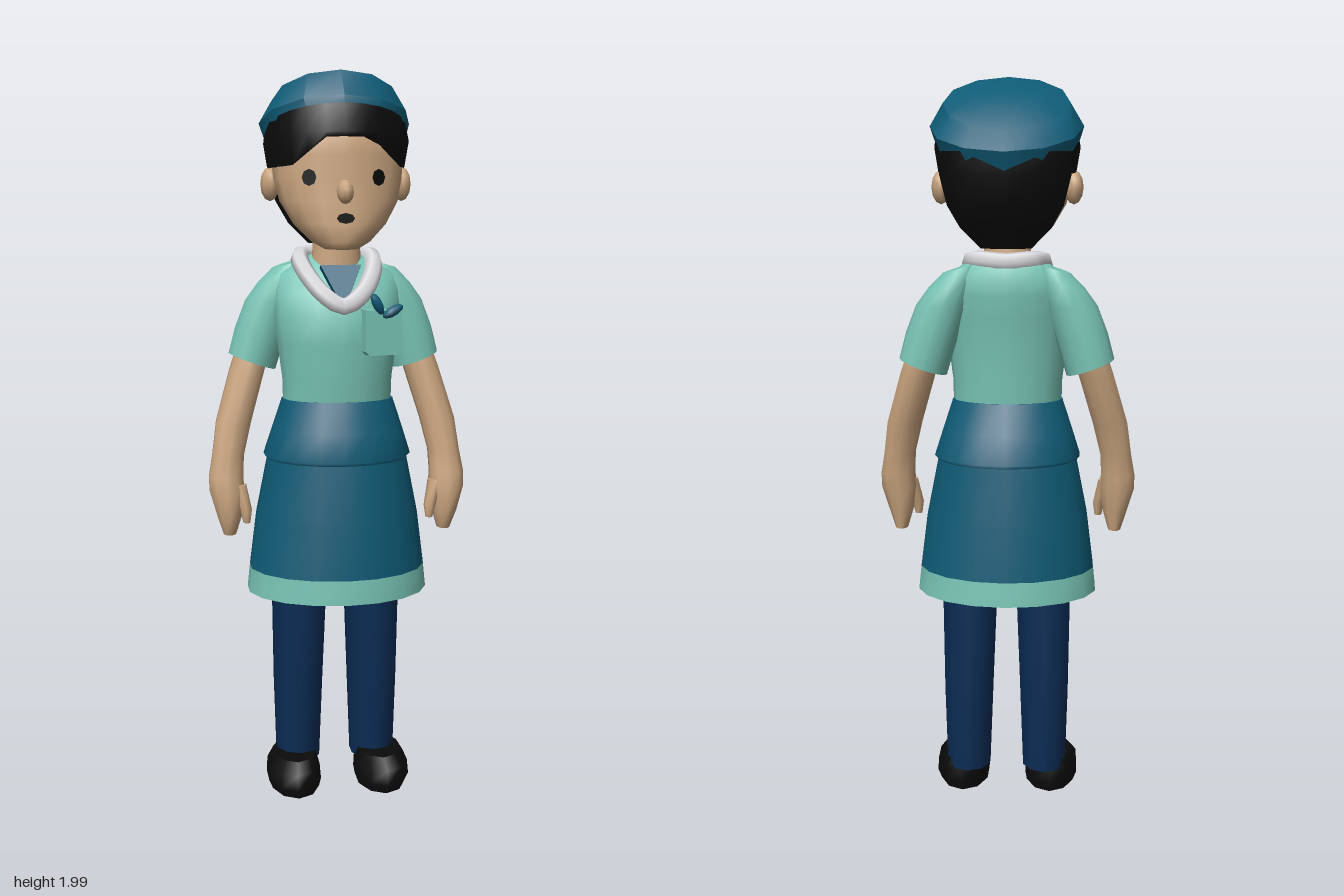
import * as THREE from 'three';
import { toCreasedNormals } from 'three/addons/utils/BufferGeometryUtils.js';

const mat = (name, color, side = THREE.FrontSide) => {
  const m = new THREE.MeshStandardMaterial({ color, side });
  m.name = name;
  return m;
};

// Skin over elliptical rings listed bottom to top: [y, cx, cz, rx, rz, slopeZ, slopeX]
function loft(rings, { n = 14, s = 1, capBottom = true, capTop = true, lift = null } = {}) {
  const pos = [], idx = [];
  const addRing = (r) => {
    const [y, cx, cz, rx, rz, kz = 0, kx = 0] = r;
    for (let i = 0; i < n; i++) {
      const a = (i / n) * Math.PI * 2;
      const dx = rx * Math.sin(a), dz = rz * Math.cos(a);
      const x = cx * s + dx, z = cz + dz;
      const h = y + kz * dz + kx * s * dx;
      pos.push(x, lift ? h + lift(x, z, h) : h, z);
    }
  };
  rings.forEach(addRing);
  for (let j = 0; j < rings.length - 1; j++) {
    for (let i = 0; i < n; i++) {
      const a = j * n + i, b = j * n + (i + 1) % n;
      idx.push(a, b, b + n, a, b + n, a + n);
    }
  }
  const cap = (r, up) => {
    const base = pos.length / 3;
    addRing(r);
    pos.push(r[1] * s, r[0], r[2]);
    for (let i = 0; i < n; i++) {
      const a = base + i, b = base + (i + 1) % n;
      idx.push(base + n, up ? a : b, up ? b : a);
    }
  };
  if (capBottom) cap(rings[0], false);
  if (capTop) cap(rings[rings.length - 1], true);
  const g = new THREE.BufferGeometry();
  g.setAttribute('position', new THREE.Float32BufferAttribute(pos, 3));
  g.setIndex(idx);
  g.computeVertexNormals();
  return g;
}

export function createModel() {
  const teal = mat('dark teal', 0x0f5b76, THREE.DoubleSide);
  const mint = mat('mint', 0x79c4b5, THREE.DoubleSide);
  const skin = mat('skin', 0xcaa57f);
  const navy = mat('navy', 0x0b2c55);
  const black = mat('black', 0x0b0b0b, THREE.DoubleSide);
  const white = mat('white', 0xdcdce0);

  const model = new THREE.Group();
  model.name = 'uniformedFigure';
  const add = (name, geo, m, parent = model) => {
    const mesh = new THREE.Mesh(geo, m);
    mesh.name = name;
    parent.add(mesh);
    return mesh;
  };

  // Head and neck
  add('head', loft([
    [1.535, 0, 0.10, 0.045, 0.06], [1.555, 0, 0.09, 0.08, 0.092], [1.60, 0, 0.075, 0.125, 0.103],
    [1.66, 0, 0.055, 0.16, 0.117], [1.72, 0, 0.035, 0.174, 0.131], [1.78, 0, 0.025, 0.18, 0.141],
    [1.85, 0, 0.01, 0.178, 0.15], [1.89, 0, 0, 0.14, 0.12],
  ], { n: 16 }), skin);
  add('neck', loft([
    [1.42, 0, 0.0, 0.085, 0.07], [1.49, 0, 0.005, 0.068, 0.058], [1.6, 0, 0.01, 0.062, 0.055],
  ]), skin);
  const nose = add('nose', new THREE.SphereGeometry(1, 8, 6), skin);
  nose.scale.set(0.023, 0.032, 0.03);
  nose.position.set(0, 1.685, 0.172);
  nose.rotation.x = -0.25;
  const mouth = add('mouth', new THREE.CircleGeometry(1, 8), black);
  mouth.scale.set(0.024, 0.014, 1);
  mouth.position.set(0, 1.617, 0.184);

  // Hair: a full back and a fringe that arches over the forehead
  add('hairBack', loft([
    [1.545, 0, -0.06, 0.07, 0.035], [1.6, 0, -0.075, 0.125, 0.06], [1.66, 0, -0.1, 0.158, 0.08],
    [1.74, 0, -0.1, 0.178, 0.1], [1.8, 0, -0.1, 0.185, 0.1],
  ]), black);
  add('hairFringe', loft([
    [1.745, 0, -0.005, 0.186, 0.183, 0.05], [1.81, 0, 0, 0.197, 0.194, 0.15],
    [1.85, 0, -0.015, 0.19, 0.178, 0.35],
  ], {
    n: 24, capBottom: false,
    lift: (x, z, y) => (z > 0 && y < 1.8 ? 0.072 * Math.min(1, Math.max(0, 1.7 - Math.abs(x - 0.01) / 0.085)) : 0),
  }), black);

  // Tilted round cap
  add('cap', toCreasedNormals(loft([
    [1.815, 0, -0.015, 0.19, 0.178, 0.48], [1.865, 0, -0.03, 0.206, 0.187, 0.36],
    [1.925, 0, -0.04, 0.17, 0.135, 0.55], [1.957, 0, -0.035, 0.09, 0.07, 0.5],
  ], { n: 12 }), 0.6), teal);

  // Blouse, collar and neck scarf
  add('blouse', loft([
    [1.1, 0, 0.022, 0.15, 0.11], [1.18, 0, 0.024, 0.152, 0.116], [1.28, 0, 0.025, 0.165, 0.122],
    [1.36, 0, 0.02, 0.175, 0.128], [1.42, 0, 0.0, 0.175, 0.115], [1.465, 0, -0.02, 0.165, 0.095],
    [1.5, 0, -0.03, 0.12, 0.07], [1.515, 0, -0.03, 0.07, 0.045],
  ], { n: 16 }), mint);
  const half = [[0.045, 1.41, 0.135], [0.085, 1.46, 0.08], [0.1, 1.505, 0.0], [0.075, 1.515, -0.065]];
  const loop = [[0, 1.385, 0.148], ...half, [0, 1.51, -0.088],
    ...half.slice().reverse().map(([x, y, z]) => [-x, y, z])].map((p) => new THREE.Vector3(...p));
  add('collar', new THREE.TubeGeometry(new THREE.CatmullRomCurve3(loop, true), 32, 0.025, 6, true), white);
  const scarfShape = new THREE.Shape([[-0.055, 0.06], [0, -0.07], [0.055, 0.06]].map((p) => new THREE.Vector2(...p)));
  const scarf = add('scarf', new THREE.ExtrudeGeometry(scarfShape, { depth: 0.02, bevelEnabled: false }), teal);
  scarf.position.set(0, 1.43, 0.105);
  scarf.rotation.x = -0.5;

  // Chest pocket with a small bow
  const pocket = new THREE.Group();
  pocket.name = 'pocket';
  pocket.position.set(0.102, 1.315, 0.148);
  pocket.rotation.y = 0.2;
  model.add(pocket);
  const flap = new THREE.Shape([[-0.05, -0.05], [-0.04, -0.06], [0.045, -0.06], [0.052, -0.05], [0.05, 0.058], [-0.05, 0.062]]
    .map((p) => new THREE.Vector2(...p)));
  add('pocketBody', new THREE.ExtrudeGeometry(flap, { depth: 0.05, bevelEnabled: false }), mint, pocket).position.z = -0.035;
  [[-0.022, 0.078, 0.5], [0.022, 0.058, -1.1]].forEach(([x, y, r]) => {
    const b = add('bowLoop', new THREE.SphereGeometry(1, 6, 5), teal, pocket);
    b.scale.set(0.014, 0.032, 0.016);
    b.position.set(x, y, 0.025);
    b.rotation.z = r;
  });

  // Peplum and open skirt with a contrasting hem
  add('peplum', loft([
    [0.955, 0, 0.012, 0.192, 0.165], [0.968, 0, 0.015, 0.205, 0.177],
    [1.04, 0, 0.02, 0.182, 0.15], [1.125, 0, 0.022, 0.154, 0.115],
  ], { n: 18 }), teal);
  add('skirt', loft([
    [0.65, 0, 0.011, 0.246, 0.204], [0.8, 0, 0.012, 0.227, 0.19], [0.96, 0, 0.013, 0.195, 0.168],
  ], { n: 18, capBottom: false }), teal);
  add('skirtHem', loft([
    [0.583, 0, 0.01, 0.253, 0.209], [0.65, 0, 0.011, 0.246, 0.204],
  ], { n: 18, capBottom: false, capTop: false }), mint);
  add('skirtLining', loft([
    [0.588, 0, 0.01, 0.247, 0.203], [0.66, 0, 0.011, 0.239, 0.197],
  ], { n: 18, capBottom: false, capTop: false }), teal);

  // Paired parts
  [['left', 1], ['right', -1]].forEach(([side, s]) => {
    const ear = add(side + 'Ear', new THREE.SphereGeometry(1, 8, 6), skin);
    ear.scale.set(0.026, 0.046, 0.036);
    ear.position.set(0.18 * s, 1.705, 0.002);
    const eye = add(side + 'Eye', new THREE.CircleGeometry(1, 8), black);
    eye.scale.set(0.02, 0.022, 1);
    eye.position.set(0.092 * s, 1.722, 0.149);
    eye.rotation.y = 0.42 * s;

    add(side + 'Sleeve', loft([
      [1.222, 0.229, -0.042, 0.065, 0.071, 0, 0.35], [1.3, 0.207, -0.042, 0.068, 0.071, 0, 0.25],
      [1.39, 0.175, -0.042, 0.072, 0.07, 0, 0], [1.45, 0.147, -0.042, 0.066, 0.066, 0, -0.2],
      [1.492, 0.125, -0.04, 0.048, 0.045, 0, -0.3],
    ], { n: 12, s }), mint);
    add(side + 'Arm', loft([
      [0.75, 0.302, 0.03, 0.018, 0.03], [0.8, 0.303, 0.037, 0.034, 0.045], [0.87, 0.308, 0.03, 0.05, 0.05],
      [0.91, 0.31, 0.025, 0.049, 0.046], [0.97, 0.303, 0.015, 0.045, 0.044], [1.06, 0.286, 0, 0.05, 0.048],
      [1.2, 0.245, -0.03, 0.05, 0.056], [1.28, 0.222, -0.04, 0.045, 0.05],
    ], { n: 10, s }), skin);
    add(side + 'Thumb', loft([
      [0.785, 0.256, 0.056, 0.01, 0.013], [0.82, 0.258, 0.056, 0.017, 0.02], [0.89, 0.275, 0.04, 0.02, 0.025],
    ], { n: 7, s }), skin);

    add(side + 'Trouser', loft([
      [0.07, 0.108, -0.033, 0.063, 0.078], [0.3, 0.107, -0.03, 0.071, 0.084], [0.62, 0.103, -0.02, 0.08, 0.09],
    ], { n: 10, s }), navy);
    add(side + 'Shoe', loft([
      [0.005, 0.124, 0.025, 0.07, 0.12], [0.03, 0.127, 0.027, 0.078, 0.128], [0.07, 0.127, 0.022, 0.075, 0.122],
      [0.098, 0.122, 0.01, 0.062, 0.1],
    ], { n: 10, s }), black);
  });

  return model;
}
